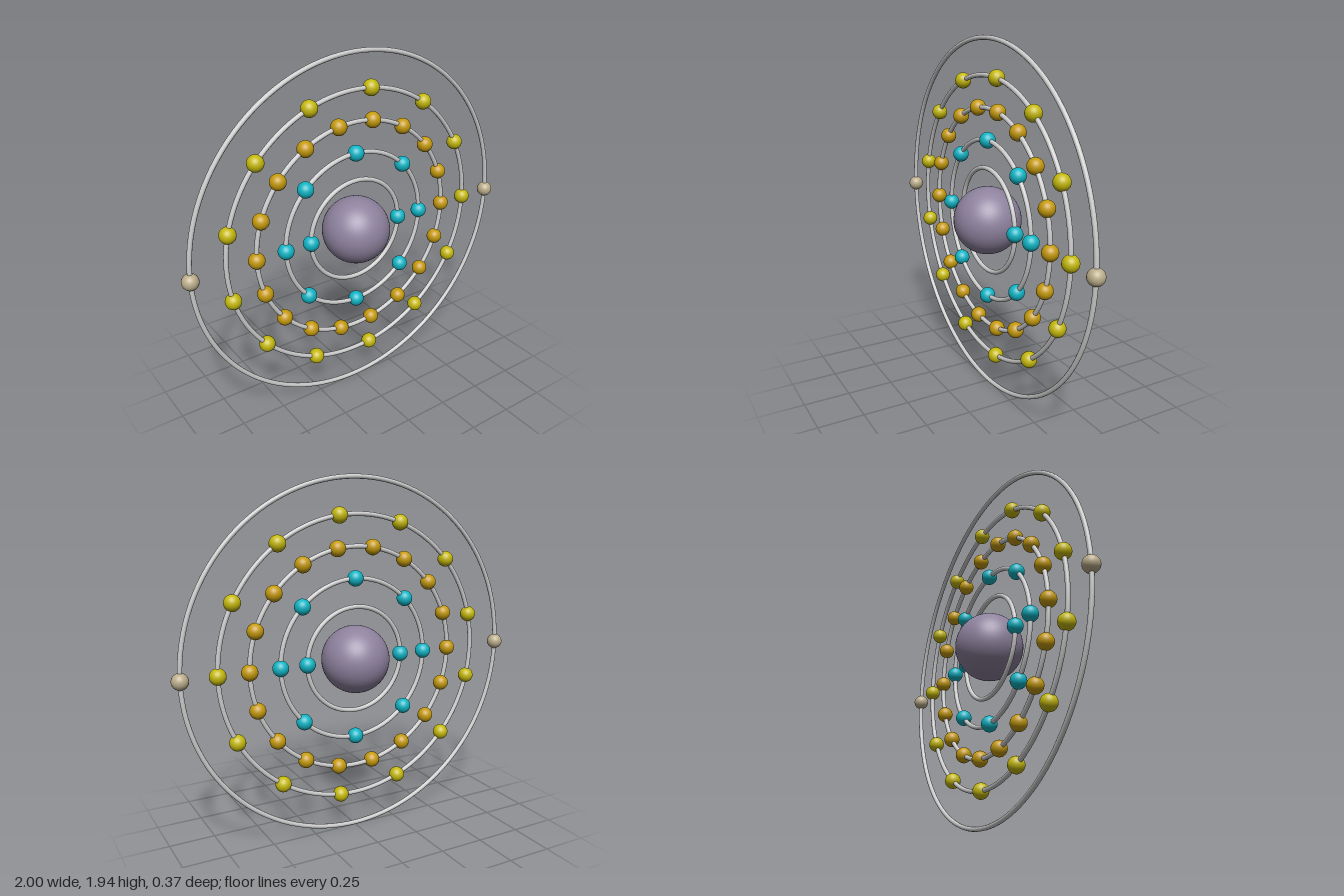
import * as THREE from 'three';

const CENTRE_Y = 0.97;
const TUBE = 0.0125;
const ELECTRON_RADIUS = 0.043;

// Shells from the inside out: ring radius, number of electrons, colour
const SHELLS = [
  { radius: 0.285, count: 2, color: 0x10b4c4 },
  { radius: 0.436, count: 8, color: 0x10b4c4 },
  { radius: 0.604, count: 18, color: 0xc49a0c },
  { radius: 0.77, count: 13, color: 0xc4b80c },
  { radius: 0.957, count: 2, color: 0xbcae8c },
];

const material = (color) => new THREE.MeshStandardMaterial({ color });

function addMesh(parent, name, geometry, mat) {
  const mesh = new THREE.Mesh(geometry, mat);
  mesh.name = name;
  parent.add(mesh);
  return mesh;
}

export function createModel() {
  const model = new THREE.Group();
  model.name = 'atom';

  // Everything is laid out around the nucleus
  const atom = new THREE.Group();
  atom.name = 'nucleusAndShells';
  atom.position.y = CENTRE_Y;
  model.add(atom);

  addMesh(atom, 'nucleus', new THREE.SphereGeometry(0.184, 48, 32), material(0x8e829e));

  const ringMaterial = material(0xcccccc);
  const electronGeometry = new THREE.SphereGeometry(ELECTRON_RADIUS, 32, 20);

  SHELLS.forEach(({ radius, count, color }, i) => {
    const shell = new THREE.Group();
    shell.name = `shell${i + 1}`;
    atom.add(shell);

    // Orbit ring in the x-y plane
    addMesh(shell, 'orbitRing', new THREE.TorusGeometry(radius, TUBE, 12, 128), ringMaterial);

    // Electrons evenly spaced, starting on the +x side
    const electronMaterial = material(color);
    for (let k = 0; k < count; k++) {
      const a = (k / count) * Math.PI * 2;
      const electron = addMesh(shell, `electron${k + 1}`, electronGeometry, electronMaterial);
      electron.position.set(radius * Math.cos(a), radius * Math.sin(a), 0);
    }
  });

  return model;
}
